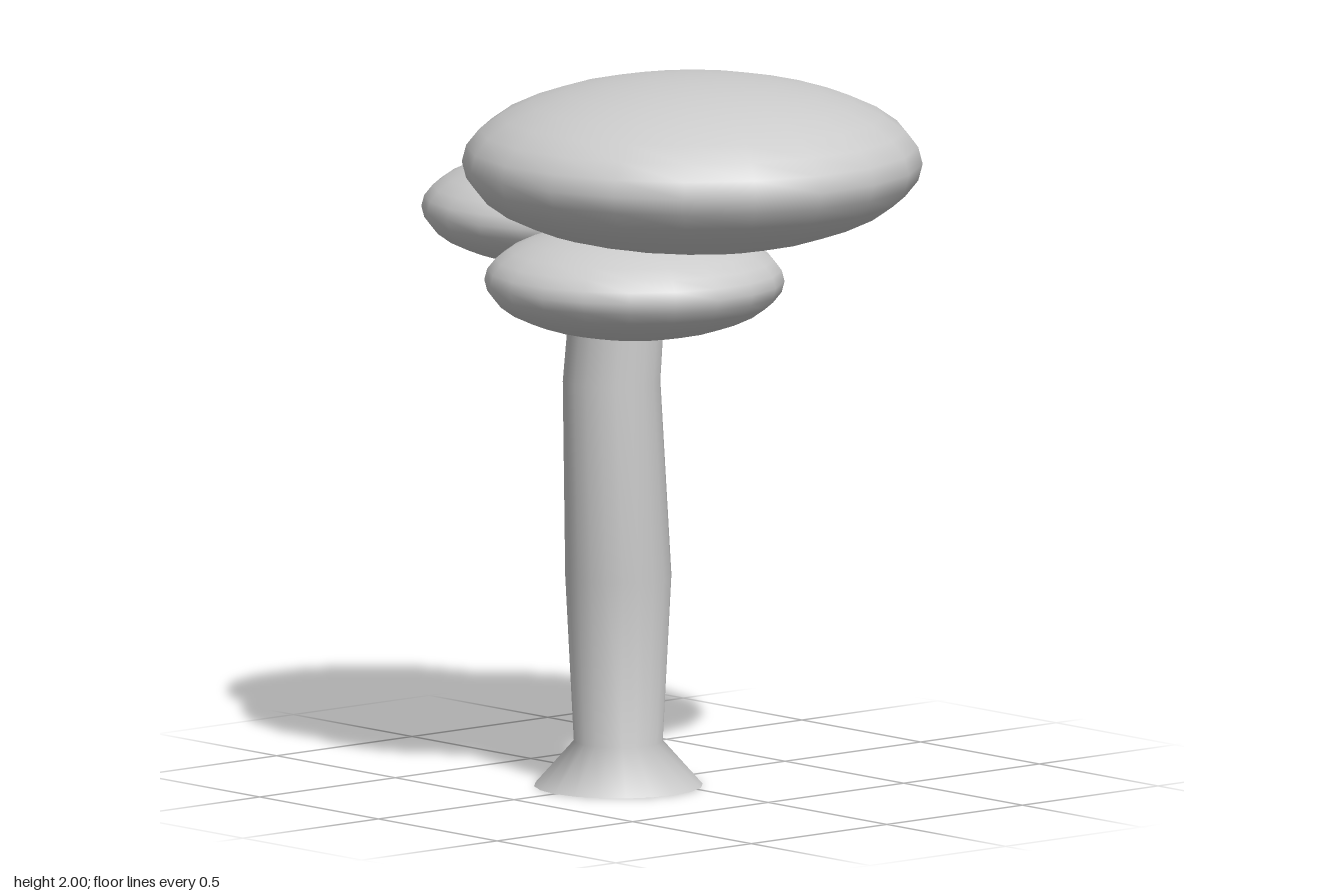
import * as THREE from 'three';

const material = new THREE.MeshStandardMaterial({ color: 0xcccccc });

// Flattened foliage pad
function foliage(name, [x, y, z], radius, height) {
  const mesh = new THREE.Mesh(new THREE.SphereGeometry(1, 20, 16), material);
  mesh.name = name;
  mesh.position.set(x, y, z);
  mesh.scale.set(radius, height, radius);
  mesh.rotation.y = -0.125;
  return mesh;
}

// Gently bent trunk with a flared foot: rings of [y, centre x, radius]
function trunk() {
  const rings = [
    [0, -0.115, 0.235],
    [0.125, -0.115, 0.124],
    [0.59, -0.115, 0.148],
    [1.14, -0.14, 0.136],
    [1.45, -0.11, 0.132],
  ];
  const profile = rings.map(([y, , r]) => new THREE.Vector2(r, y));
  const geometry = new THREE.LatheGeometry(profile, 20);
  const pos = geometry.attributes.position;
  for (let i = 0; i < pos.count; i++) {
    pos.setX(i, pos.getX(i) + rings[i % rings.length][1]);
  }
  const mesh = new THREE.Mesh(geometry, material);
  mesh.name = 'trunk';
  return mesh;
}

export function createModel() {
  const group = new THREE.Group();
  group.name = 'tree';

  // Flat underside of the trunk
  const base = new THREE.Mesh(new THREE.CircleGeometry(0.235, 20), material);
  base.name = 'trunkBase';
  base.rotation.x = Math.PI / 2;
  base.position.x = -0.115;

  group.add(
    trunk(),
    base,
    foliage('topFoliage', [0, 1.76, 0.18], 0.64, 0.24),
    foliage('backFoliage', [0.065, 1.557, -0.403], 0.417, 0.157),
    foliage('lowerFoliage', [-0.165, 1.44, 0.125], 0.417, 0.157),
  );
  return group;
}
